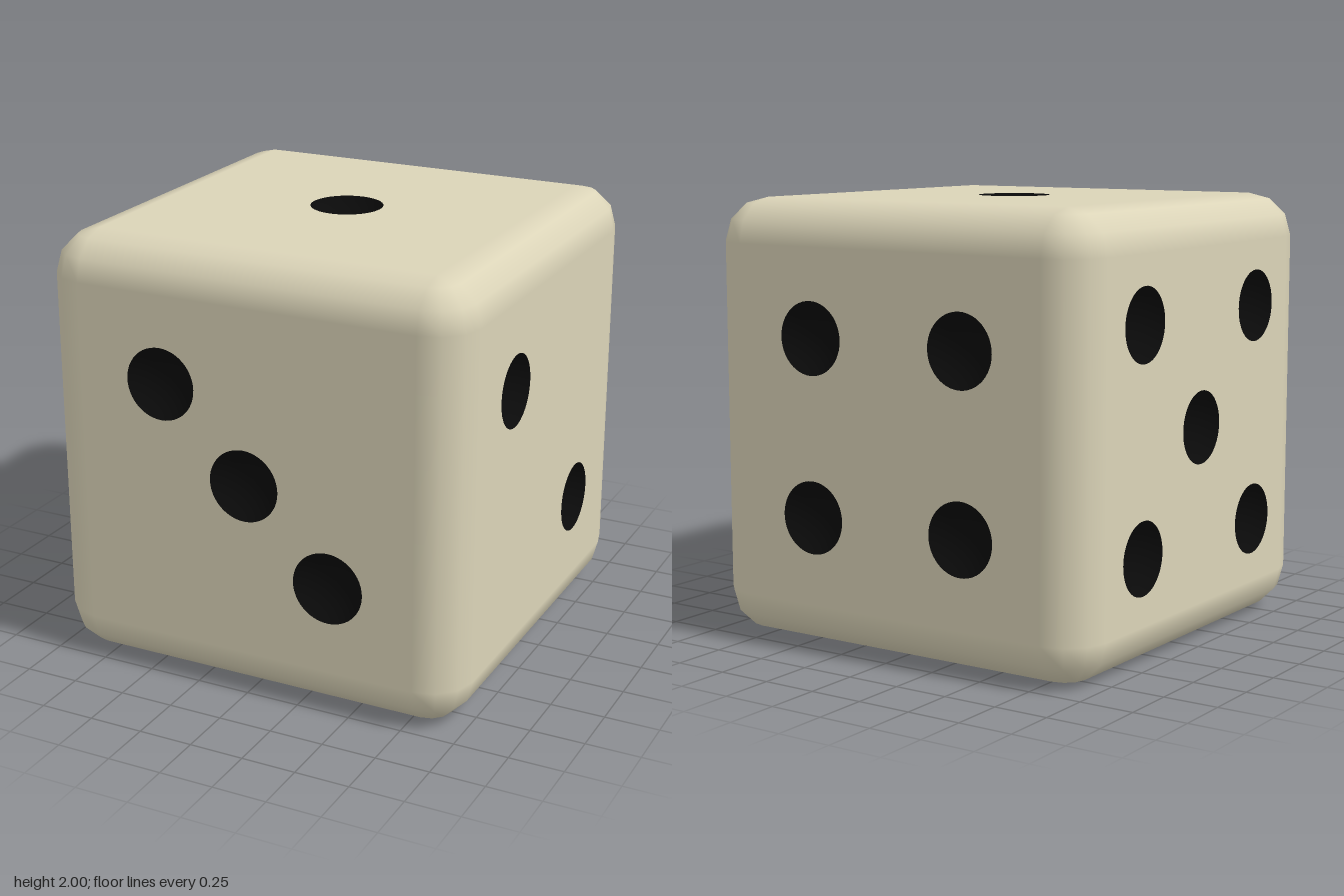
import * as THREE from 'three';
import { mergeGeometries } from 'three/addons/utils/BufferGeometryUtils.js';

const HALF = 1, ROUND = 0.2, FLAT = HALF - ROUND; // cube half size, edge radius, flat half size
const PIP = 0.165, DEPTH = 0.09;                  // pip radius and depth
const Q = Math.PI / 2;

// Pip layouts in each face's own plane, with the turn that carries +z onto the face
const FACES = [
  { name: 'top', rot: [-Q, 0], pips: [[0, 0]] },
  { name: 'rightSide', rot: [0, Q], pips: [[-0.4, 0.4], [0.4, -0.4]] },
  { name: 'front', rot: [0, 0], pips: [[-0.4, 0.4], [0, 0], [0.4, -0.4]] },
  { name: 'back', rot: [0, 2 * Q], pips: [[-0.4, 0.4], [0.4, 0.4], [-0.4, -0.4], [0.4, -0.4]] },
  { name: 'leftSide', rot: [0, -Q], pips: [[-0.5, 0.5], [0.5, 0.5], [0, 0], [-0.5, -0.5], [0.5, -0.5]] },
  { name: 'bottom', rot: [Q, 0], pips: [[-0.4, 0.5], [-0.4, 0], [-0.4, -0.5], [0.4, 0.5], [0.4, 0], [0.4, -0.5]] },
];

// Flat square with a round hole for every pip
function faceGeometry(pips) {
  const shape = new THREE.Shape([[-1, -1], [1, -1], [1, 1], [-1, 1]]
    .map(([x, y]) => new THREE.Vector2(x * FLAT, y * FLAT)));
  for (const [x, y] of pips) {
    shape.holes.push(new THREE.Path().absarc(x, y, PIP, 0, Math.PI * 2, true));
  }
  return new THREE.ShapeGeometry(shape, 24).translate(0, 0, HALF);
}

// Shallow spherical bowl, rim at z = 0, opening towards +z
function pipGeometry() {
  const R = (PIP * PIP + DEPTH * DEPTH) / (2 * DEPTH);
  const sweep = Math.asin(PIP / R);
  const profile = [];
  for (let i = 0; i <= 8; i++) {
    const a = sweep * (1 - i / 8);
    profile.push(new THREE.Vector2(R * Math.sin(a), R - DEPTH - R * Math.cos(a)));
  }
  return new THREE.LatheGeometry(profile, 48).rotateX(Q);
}

// Twelve rounded edges and eight rounded corners
function roundedRim() {
  const parts = [];
  for (let k = 0; k < 4; k++) {
    const edge = () => new THREE.CylinderGeometry(ROUND, ROUND, 2 * FLAT, 3, 1, true, 0, Q)
      .translate(FLAT, 0, FLAT).rotateY(k * Q);
    parts.push(edge(), edge().rotateX(Q), edge().rotateZ(Q));
    const corner = () => new THREE.SphereGeometry(ROUND, 3, 3, Q, Q, 0, Q)
      .translate(FLAT, FLAT, FLAT).rotateY(k * Q);
    parts.push(corner(), corner().rotateX(2 * Q));
  }
  return parts;
}

export function createModel() {
  const model = new THREE.Group();
  model.name = 'die';
  const ivory = new THREE.MeshStandardMaterial({ color: 0xdbd4b8 });
  const black = new THREE.MeshStandardMaterial({ color: 0x0a0a0a });

  // Body: rounded rim plus six pierced faces
  const shell = roundedRim();
  for (const { rot, pips } of FACES) {
    shell.push(faceGeometry(pips).rotateX(rot[0]).rotateY(rot[1]));
  }
  const body = new THREE.Mesh(mergeGeometries(shell), ivory);
  body.name = 'body';
  body.position.y = HALF;
  model.add(body);

  // Pips: one to six hollows, grouped by face
  const bowl = pipGeometry();
  for (const { name, rot, pips } of FACES) {
    const group = new THREE.Group();
    group.name = name + 'Pips';
    group.position.y = HALF;
    group.rotation.set(rot[0], rot[1], 0);
    for (const [x, y] of pips) {
      const pip = new THREE.Mesh(bowl, black);
      pip.name = 'pip';
      pip.position.set(x, y, HALF);
      group.add(pip);
    }
    model.add(group);
  }
  return model;
}
